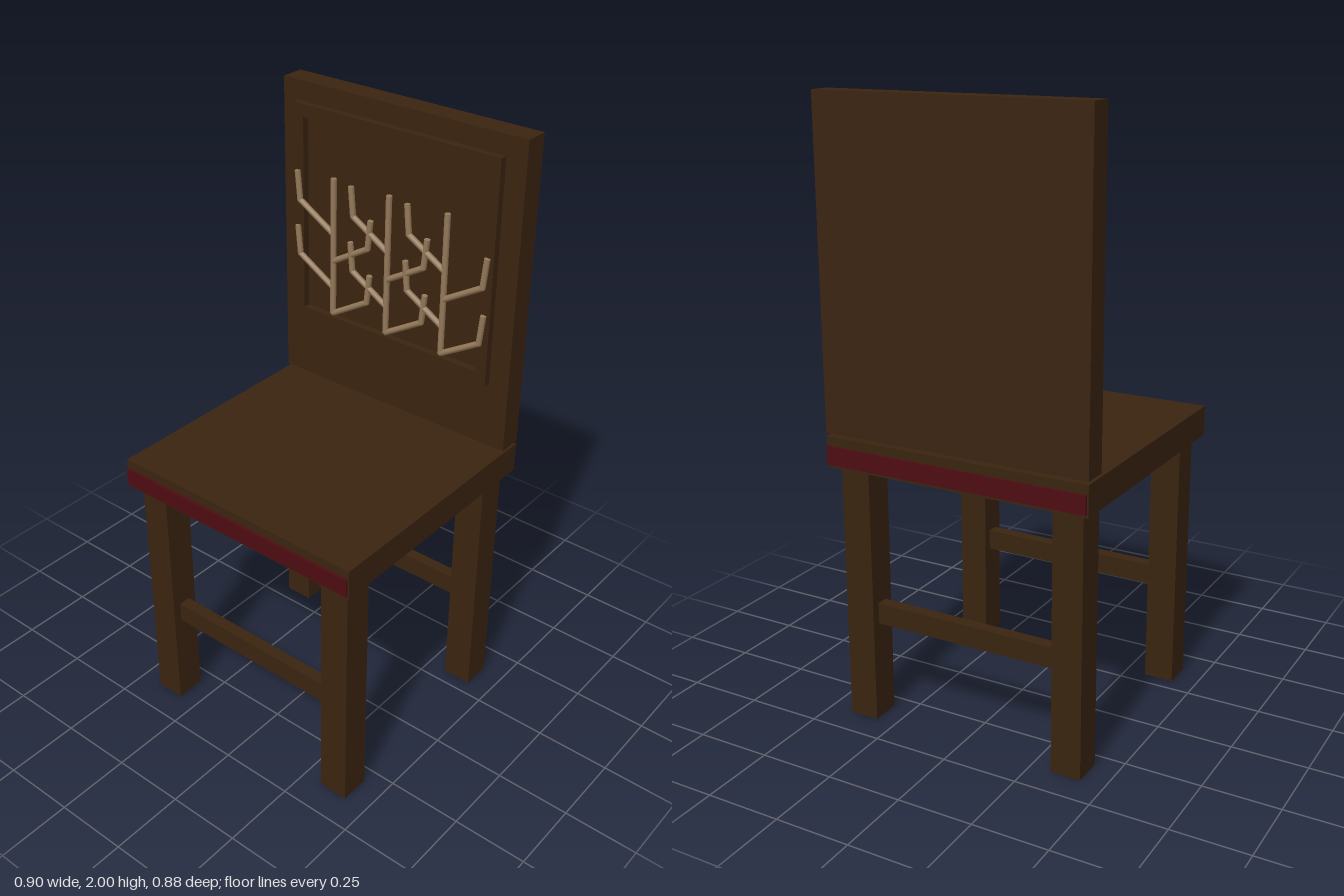
import * as THREE from 'three';

export function createModel() {
  const model = new THREE.Group();
  model.name = 'chair';

  const mat = (name, color) => {
    const m = new THREE.MeshStandardMaterial({ color });
    m.name = name;
    return m;
  };
  const wood = mat('dark wood', 0x3a2410);
  const red = mat('deep red', 0x4e0c12);
  const tan = mat('pale branch', 0x94795a);

  const add = (name, geometry, material, parent = model) => {
    const mesh = new THREE.Mesh(geometry, material);
    mesh.name = name;
    parent.add(mesh);
    return mesh;
  };

  // Box given by its lower and upper corners
  const box = (name, a, b, material) =>
    add(name, new THREE.BoxGeometry(b[0] - a[0], b[1] - a[1], b[2] - a[2]), material)
      .position.set((a[0] + b[0]) / 2, (a[1] + b[1]) / 2, (a[2] + b[2]) / 2);

  // Seat and backrest
  box('seat', [-0.45, 0.86, -0.432], [0.45, 0.96, 0.432], wood);
  box('backrest', [-0.45, 0.97, -0.432], [0.45, 2, -0.352], wood);

  for (const s of [-1, 1]) {
    const side = s > 0 ? 'front' : 'back';
    // Legs
    for (const t of [-1, 1]) {
      add(side + (t > 0 ? 'LeftLeg' : 'RightLeg'), new THREE.BoxGeometry(0.1, 0.86, 0.1), wood)
        .position.set(t * 0.37, 0.43, s * 0.35);
    }
    // Stretcher between the legs
    add(side + 'Stretcher', new THREE.BoxGeometry(0.64, 0.07, 0.04), wood)
      .position.set(0, 0.365, s * 0.35);
    // Coloured band on the seat edge
    add(side + 'SeatBand', new THREE.BoxGeometry(0.89, 0.06, 0.009), red)
      .position.set(0, 0.9, s * 0.4355);
  }

  // Raised rectangular frame in front of the backrest
  const rect = (target, x, y0, y1) => {
    target.moveTo(-x, y0);
    target.lineTo(x, y0);
    target.lineTo(x, y1);
    target.lineTo(-x, y1);
    target.closePath();
    return target;
  };
  const frame = rect(new THREE.Shape(), 0.385, 1.2, 1.94);
  frame.holes.push(rect(new THREE.Path(), 0.345, 1.24, 1.9));
  add('backFrame', new THREE.ExtrudeGeometry(frame, { depth: 0.024, bevelEnabled: false }), wood)
    .position.z = -0.343;

  // Round rod between two points in the plane of the ornament
  const R = 0.01;
  const rod = (name, x0, y0, x1, y1, parent) => {
    const length = Math.hypot(x1 - x0, y1 - y0);
    const mesh = add(name, new THREE.CylinderGeometry(R, R, length, 8), tan, parent);
    mesh.position.set((x0 + x1) / 2, (y0 + y1) / 2, 0);
    mesh.rotation.z = Math.atan2(x0 - x1, y1 - y0);
  };

  // Three branching stems with alternating side twigs
  for (const x of [-0.217, 0, 0.217]) {
    const stem = new THREE.Group();
    stem.name = 'branchingStem';
    stem.position.set(x, 0, -0.314);
    model.add(stem);
    rod('trunk', 0, 1.26, 0, 1.73, stem);
    [1.26, 1.354, 1.448, 1.542].forEach((y, i) => {
      const s = i % 2 ? -1 : 1;
      rod('branch', 0, y, s * 0.138, y + 0.082, stem);
      rod('twig', s * 0.138, y + 0.08, s * 0.148, y + 0.18, stem);
      add('joint', new THREE.SphereGeometry(R, 8, 6), tan, stem)
        .position.set(s * 0.138, y + 0.082, 0);
    });
  }

  return model;
}
